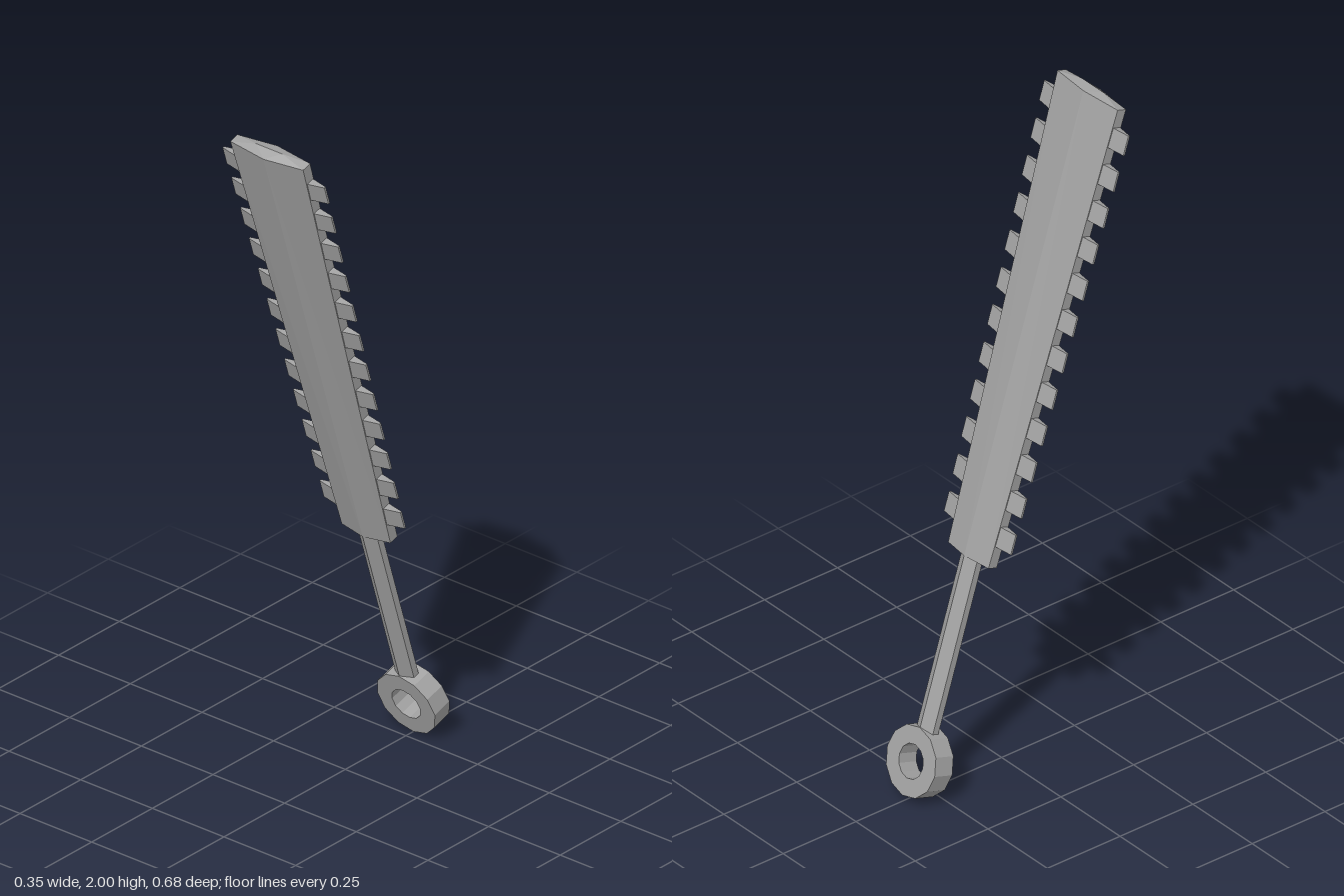
import * as THREE from 'three';

const THICK = 0.03;                       // half thickness at the centre ridge
const BLADE_LOW = 0.605, BLADE_HIGH = 1.974;
const halfWidth = (y) => THREE.MathUtils.mapLinear(y, BLADE_LOW, BLADE_HIGH, 0.085, 0.127);

// flat-shaded geometry from a list of triangles
function fromTriangles(tris) {
  const g = new THREE.BufferGeometry().setFromPoints(tris.flat());
  g.computeVertexNormals();
  return g;
}

// six-sided cross-section with a ridge on front and back
function section(w, edge, y) {
  return [[w, edge], [0, THICK], [-w, edge], [-w, -edge], [0, -THICK], [w, -edge]]
    .map(([x, z]) => new THREE.Vector3(x, y, z));
}

function prism(low, high) {
  const tris = [], n = low.length;
  for (let i = 0; i < n; i++) {
    const j = (i + 1) % n;
    tris.push([low[i], high[j], low[j]], [low[i], high[i], high[j]]);
    if (i > 0 && j > 0) tris.push([low[0], low[i], low[j]], [high[0], high[j], high[i]]);
  }
  return fromTriangles(tris);
}

// one half of the shallow roof that closes the blade tip
function tipHalf() {
  const w = halfWidth(BLADE_HIGH), y = BLADE_HIGH, top = y + 0.013;
  const v = (x, h, z) => new THREE.Vector3(x, h, z);
  const er = v(w, y, 0), el = v(-w, y, 0), rr = v(0.045, top, 0), rl = v(-0.045, top, 0);
  const fr = v(w, y, 0.015), fc = v(0, y, THICK), fl = v(-w, y, 0.015);
  return fromTriangles([[er, rr, fr], [rr, fc, fr], [rr, rl, fc], [rl, fl, fc], [rl, el, fl]]);
}

// tooth that narrows to a thin outer edge
function toothGeometry(side) {
  const g = new THREE.BoxGeometry(0.062, 0.058, 0.028).toNonIndexed();
  const p = g.attributes.position;
  for (let i = 0; i < p.count; i++) {
    if (p.getX(i) * side > 0) p.setZ(i, p.getZ(i) * 0.2);
  }
  g.computeVertexNormals();
  return g;
}

function polygon(target, radius, sides) {
  const pts = [];
  for (let i = 0; i < sides; i++) {
    const a = (i / sides) * Math.PI * 2;
    pts.push(new THREE.Vector2(radius * Math.cos(a), radius * Math.sin(a)));
  }
  return target.setFromPoints(pts);
}

export function createModel() {
  const model = new THREE.Group();
  model.name = 'toothedBlade';
  const metal = new THREE.MeshStandardMaterial({ color: 0xa0a0a0 });
  metal.name = 'greyMetal';

  const weapon = new THREE.Group();
  weapon.name = 'tiltedWeapon';
  const add = (name, geometry) => {
    const mesh = new THREE.Mesh(geometry, metal);
    mesh.name = name;
    weapon.add(mesh);
    return mesh;
  };

  // pommel ring
  const ring = polygon(new THREE.Shape(), 0.1, 12);
  ring.holes.push(polygon(new THREE.Path(), 0.049, 12));
  add('pommelRing', new THREE.ExtrudeGeometry(ring, { depth: 0.063, bevelEnabled: false })
    .translate(0, 0, -0.0315));

  // handle and blade
  add('handle', prism(section(0.033, 0.01, 0.08), section(0.033, 0.01, BLADE_LOW)));
  add('blade', prism(section(halfWidth(BLADE_LOW), 0.015, BLADE_LOW),
    section(halfWidth(BLADE_HIGH), 0.015, BLADE_HIGH)));
  add('bladeTipFront', tipHalf());
  add('bladeTipBack', tipHalf().rotateY(Math.PI));

  // teeth down both edges
  for (const side of [1, -1]) {
    const geometry = toothGeometry(side);
    for (let i = 0; i < 12; i++) {
      const y = 0.699 + i * 0.1084;
      add(side > 0 ? 'leftTooth' : 'rightTooth', geometry)
        .position.set(side * (halfWidth(y) + 0.022), y, 0);
    }
  }

  // lean the whole piece forward
  weapon.rotation.x = THREE.MathUtils.degToRad(17.4);
  weapon.position.set(0, 0.105, -0.281);
  model.add(weapon);
  return model;
}
